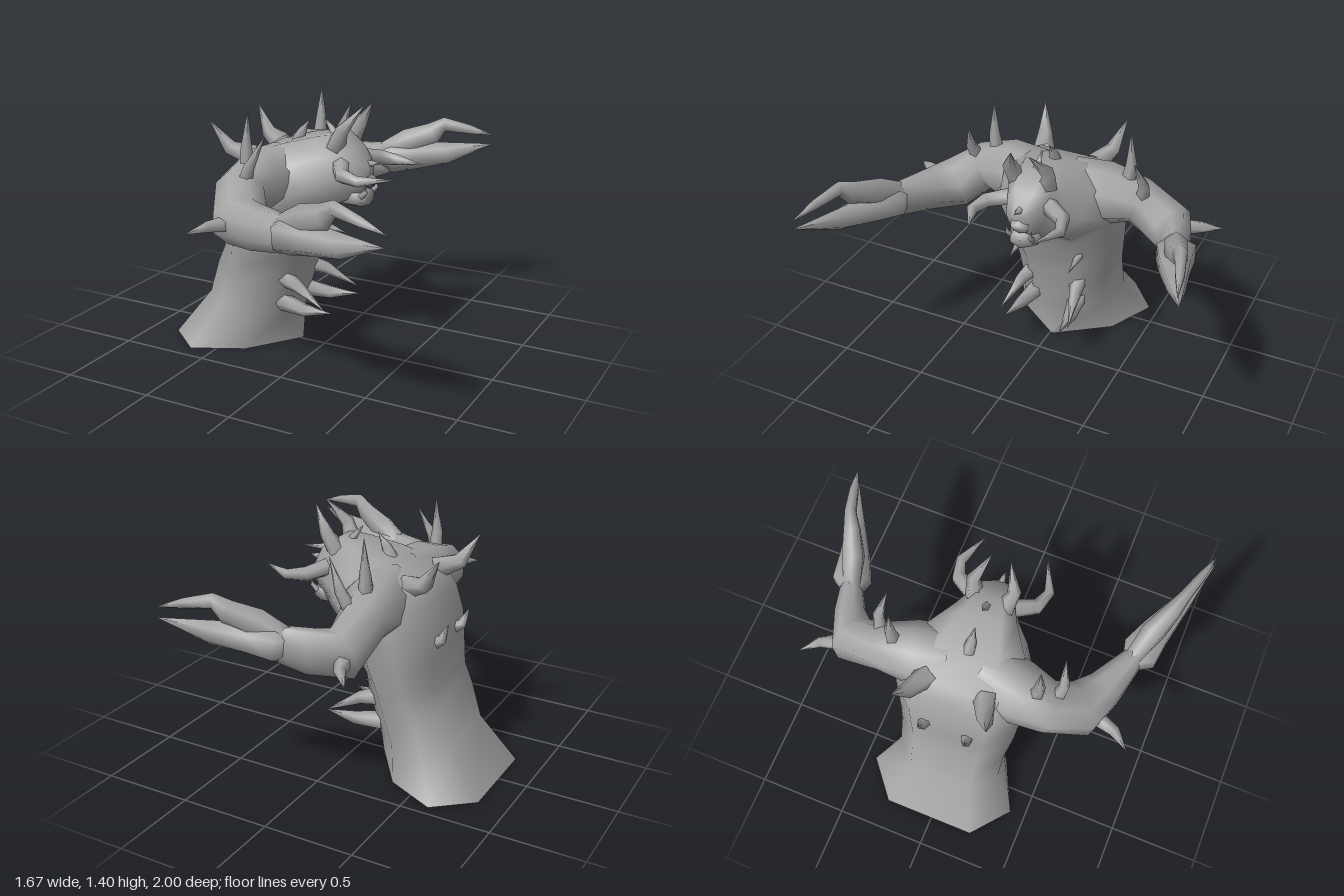
import * as THREE from 'three';

const hide = new THREE.MeshStandardMaterial({ color: 0xa3a3a3, side: THREE.DoubleSide });
hide.name = 'grey hide';
const V = (x, y, z) => new THREE.Vector3(x, y, z);

// Smooth skin over a list of rings with equal point counts
function skin(name, rings) {
  const n = rings[0].length, pos = [], idx = [];
  rings.forEach(r => r.forEach(p => pos.push(p.x, p.y, p.z)));
  for (let i = 0; i < rings.length - 1; i++) {
    for (let j = 0; j < n; j++) {
      const a = i * n + j, b = i * n + (j + 1) % n;
      idx.push(a, b, b + n, a, b + n, a + n);
    }
  }
  const g = new THREE.BufferGeometry();
  g.setAttribute('position', new THREE.Float32BufferAttribute(pos, 3));
  g.setIndex(idx);
  g.computeVertexNormals();
  const m = new THREE.Mesh(g, hide);
  m.name = name;
  return m;
}

// Tapering limb through points [x, y, z, half width, half height]
function limb(name, pts, sides) {
  const c = pts.map(p => V(p[0], p[1], p[2]));
  const whole = c[c.length - 1].clone().sub(c[0]).normalize();
  const ref = Math.abs(whole.y) > 0.75 ? V(1, 0, 0) : V(0, 1, 0);
  return skin(name, pts.map((p, i) => {
    const d = c[Math.min(i + 1, c.length - 1)].clone().sub(c[Math.max(i - 1, 0)]).normalize();
    const u = ref.clone().cross(d).normalize(), v = d.clone().cross(u);
    return Array.from({ length: sides }, (_, j) => {
      const t = (j + 0.5) / sides * Math.PI * 2;
      return c[i].clone().addScaledVector(u, Math.cos(t) * p[3])
        .addScaledVector(v, Math.sin(t) * (p[4] ?? p[3]));
    });
  }));
}

// Curved spike: base, bend, tip and base radius
const spike = (name, base, bend, tip, r) =>
  limb(name, [[...base, r], [...bend, r * 0.68], [...tip, 0.001]], 5);

export function createModel() {
  const model = new THREE.Group();
  model.name = 'hornedBeast';
  const MID = -0.015;

  // Torso and head, open below: back x,y, front x,y, half width, width share at the front
  const rows = [
    [-0.84, 0, -0.15, 0, 0.43, 0.02],
    [-0.65, 0.26, -0.195, 0.17, 0.3, 0.4],
    [-0.59, 0.45, -0.125, 0.43, 0.305, 0.45],
    [-0.54, 0.55, -0.12, 0.53, 0.322, 0.48],
    [-0.525, 0.7, -0.075, 0.62, 0.338, 0.48],
    [-0.51, 0.85, -0.05, 0.74, 0.348, 0.48],
    [-0.46, 0.99, 0.02, 0.81, 0.36, 0.48],
    [-0.39, 1.1, 0.07, 0.85, 0.34, 0.48],
    [-0.17, 1.175, 0.12, 0.87, 0.265, 0.48],
    [0.0, 1.22, 0.17, 0.89, 0.17, 0.48],
    [0.11, 1.235, 0.22, 0.92, 0.12, 0.48],
    [0.21, 1.16, 0.26, 0.96, 0.09, 0.48],
    [0.265, 1.08, 0.27, 1.02, 0.04, 0.48],
    [0.27, 1.05, 0.27, 1.05, 0.001, 0.48],
  ];
  const ring = ([bx, by, fx, fy, w, front]) => {
    const outline = [[0, 0.6], [0.3, 1], [0.7, 0.68 + front * 0.48], [1, front]];
    const side = s => outline.map(([t, k]) =>
      V(bx + (fx - bx) * t, by + (fy - by) * t, MID + s * k * w));
    return [...side(1), ...side(-1).reverse()];
  };
  model.add(skin('torsoAndHead', rows.map(ring)));

  // Snout, jaw and face spikes
  model.add(limb('snout', [[0.12, 1.02, MID, 0.09, 0.07], [0.23, 1.0, MID, 0.07, 0.055],
    [0.28, 0.98, MID, 0.045, 0.03], [0.282, 0.98, MID, 0.001]], 6));
  model.add(limb('jaw', [[0.08, 0.91, MID, 0.1, 0.075], [0.21, 0.895, MID, 0.09, 0.06],
    [0.26, 0.9, MID, 0.065, 0.045], [0.262, 0.9, MID, 0.001]], 6));
  model.add(spike('noseSpike', [0.25, 1.08, MID], [0.28, 1.085, MID], [0.32, 1.09, MID], 0.022));
  model.add(spike('browSpike', [0.06, 1.21, MID], [0.03, 1.25, MID], [-0.01, 1.3, MID], 0.025));
  model.add(spike('neckSpike', [-0.18, 1.15, MID], [-0.15, 1.21, MID], [-0.1, 1.28, MID], 0.04));

  // Arms and claws: the far arm bends sooner, so its claw is shifted back
  const arms = {
    left: [[-0.2, 1.0, 0.08, 0.17, 0.17], [-0.24, 0.99, 0.28, 0.17, 0.175], [-0.25, 0.975, 0.45, 0.14, 0.13],
      [-0.165, 0.87, 0.6, 0.15, 0.14], [-0.02, 0.885, 0.68, 0.105, 0.12], [0.19, 0.91, 0.765, 0.06, 0.1]],
    right: [[-0.2, 1.0, -0.11, 0.17, 0.17], [-0.24, 0.99, -0.3, 0.17, 0.175], [-0.265, 0.975, -0.47, 0.13, 0.13],
      [-0.255, 0.87, -0.655, 0.135, 0.14], [-0.12, 0.885, -0.735, 0.085, 0.12], [0.01, 0.91, -0.78, 0.06, 0.1]],
  };
  const lowerClaw = [[0.15, 0.91, 0.75, 0.05, 0.07], [0.22, 0.915, 0.785, 0.115, 0.1],
    [0.36, 0.93, 0.825, 0.09, 0.085], [0.55, 0.95, 0.895, 0.055, 0.065], [0.825, 1.012, 0.995, 0.001, 0.001]];
  const upperClaw = [[0.17, 0.94, 0.76, 0.05, 0.06], [0.32, 1.01, 0.81, 0.065, 0.08],
    [0.46, 1.065, 0.87, 0.048, 0.065], [0.53, 1.12, 0.9, 0.034, 0.042], [0.68, 1.095, 0.945, 0.026, 0.028],
    [0.83, 1.065, 0.985, 0.001, 0.001]];
  for (const s of ['left', 'right']) {
    const place = ([x, y, z, a, b]) => s === 'left' ? [x, y, z, a, b] : [(x - 0.18) * 0.92, y, -z - 0.005, a, b];
    model.add(limb(s + 'Arm', arms[s], 8));
    model.add(limb(s + 'LowerClaw', lowerClaw.map(place), 6));
    model.add(limb(s + 'UpperClaw', upperClaw.map(place), 6));
  }
  model.add(spike('leftElbowSpike', [-0.18, 0.88, 0.69], [-0.22, 0.89, 0.81], [-0.29, 0.87, 0.9], 0.045));
  model.add(spike('rightElbowSpike', [-0.3, 0.86, -0.73], [-0.34, 0.86, -0.82], [-0.415, 0.83, -0.91], 0.045));

  // Paired horns and spikes, z measured from the middle
  const pairs = [
    ['CrownHorn', [0.1, 1.17, 0.085], [0.15, 1.27, 0.11], [0.25, 1.4, 0.05], 0.055],
    ['ShoulderSpike', [-0.25, 1.07, 0.39], [-0.25, 1.2, 0.405], [-0.24, 1.385, 0.4], 0.045],
    ['OuterShoulderSpike', [-0.23, 1.0, 0.48], [-0.17, 1.13, 0.51], [-0.09, 1.29, 0.48], 0.045],
    ['UpperBackSpike', [-0.36, 1.08, 0.16], [-0.48, 1.125, 0.21], [-0.575, 1.275, 0.25], 0.065],
    ['LowerBackSpike', [-0.49, 0.78, 0.12], [-0.545, 0.81, 0.125], [-0.58, 0.9, 0.13], 0.04],
    ['ChestSpike', [-0.11, 0.64, 0.18], [-0.05, 0.625, 0.18], [0.035, 0.605, 0.18], 0.025],
    ['BellySpike', [-0.2, 0.41, 0.14], [-0.09, 0.385, 0.17], [0.1, 0.285, 0.21], 0.055],
    ['LowBellySpike', [-0.21, 0.26, 0.13], [-0.05, 0.245, 0.155], [0.125, 0.26, 0.17], 0.055],
    ['Tusk', [0.24, 0.91, 0.06], [0.27, 0.94, 0.065], [0.27, 0.98, 0.075], 0.018],
  ];
  for (const s of [1, -1]) {
    const side = s > 0 ? 'left' : 'right';
    const at = ([x, y, z, ...r]) => [x, y, MID + s * z, ...r];
    for (const [name, a, b, c, r] of pairs) model.add(spike(side + name, at(a), at(b), at(c), r));
    // Side horns sweep outward, then forward
    model.add(limb(side + 'SideHorn', [[0.14, 1.08, 0.1, 0.05], [0.21, 1.06, 0.22, 0.042],
      [0.31, 1.05, 0.25, 0.03], [0.485, 1.06, 0.175, 0.001]].map(at), 6));
  }
  return model;
}
